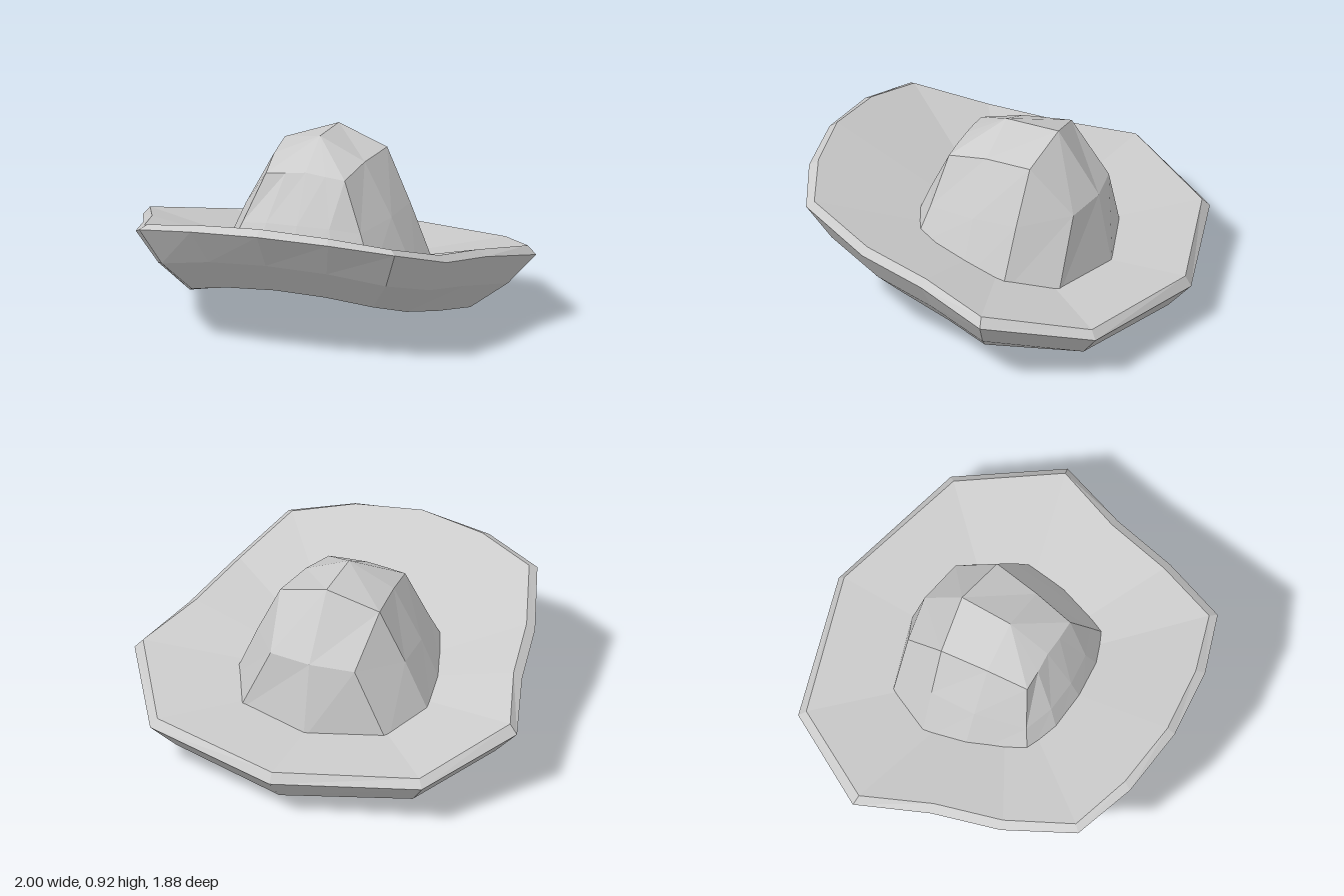
import * as THREE from 'three';

const material = new THREE.MeshStandardMaterial({ color: 0xcccccc, flatShading: true });

// A half ring runs front -> left side -> back; mirror it into a closed ring.
const mirrorRing = (half) => [
  ...half,
  ...half.slice(1, -1).reverse().map(([x, y, z]) => [-x, y, z]),
];

// Skin a stack of half rings, ordered from the top surface outward and down.
function skin(name, halfRings) {
  const rings = halfRings.map(mirrorRing);
  const n = rings[0].length;
  const pos = [];
  const tri = (a, b, c) => {
    const [p, q, r] = [a, b, c].map((v) => new THREE.Vector3(...v));
    // Skip collapsed triangles where ring points coincide
    if (q.sub(p).cross(r.sub(p)).length() > 1e-6) pos.push(...a, ...b, ...c);
  };
  for (let k = 0; k < rings.length - 1; k++) {
    const up = rings[k], low = rings[k + 1];
    for (let i = 0; i < n; i++) {
      const j = (i + 1) % n;
      tri(low[i], low[j], up[j]);
      tri(low[i], up[j], up[i]);
    }
  }
  const geometry = new THREE.BufferGeometry();
  geometry.setAttribute('position', new THREE.Float32BufferAttribute(pos, 3));
  geometry.computeVertexNormals();
  const mesh = new THREE.Mesh(geometry, material);
  mesh.name = name;
  return mesh;
}

// A half ring collapsed to one point, closing a skin with a fan
const point = (p, count) => Array(count).fill(p);

export function createModel() {
  const model = new THREE.Group();
  model.name = 'tiltedDish';

  // Bowl: shallow floor, bevelled rim, faceted underside
  const innerRim = [
    [0, 0.70, 0.90], [0.33, 0.675, 0.86], [0.62, 0.62, 0.76], [0.75, 0.51, 0.43],
    [0.83, 0.45, 0.09], [0.96, 0.385, -0.25], [0.685, 0.27, -0.71], [0, 0.25, -0.91],
  ];
  const outerRim = [
    [0, 0.67, 0.94], [0.35, 0.65, 0.90], [0.65, 0.60, 0.79], [0.79, 0.48, 0.44],
    [0.87, 0.42, 0.10], [1, 0.34, -0.26], [0.71, 0.23, -0.74], [0, 0.20, -0.94],
  ];
  const middle = [
    [0, 0.49, 0.81], [0.30, 0.47, 0.78], [0.57, 0.41, 0.69], [0.69, 0.32, 0.40],
    [0.76, 0.26, 0.09], [0.87, 0.195, -0.22], [0.62, 0.10, -0.64], [0, 0.07, -0.82],
  ];
  const lower = [
    [0, 0.33, 0.68], [0.25, 0.31, 0.65], [0.46, 0.26, 0.57], [0.55, 0.18, 0.34],
    [0.61, 0.11, 0.06], [0.70, 0.075, -0.16], [0.50, 0.02, -0.51], [0, 0, -0.65],
  ];
  model.add(skin('bowl', [
    point([0, 0.26, 0], 8), innerRim, outerRim, middle, lower, point([0, 0.185, 0], 8),
  ]));

  // Dome: short ridge on top, flaring to a base sunk into the floor
  const ridgeFront = [0, 0.915, 0.02], ridgeBack = [0, 0.905, -0.25];
  const ridge = [...point(ridgeFront, 4), ...point(ridgeBack, 3)];
  const crown = [
    [0, 0.79, 0.23], [0.10, 0.78, 0.235], [0.20, 0.77, 0.235], [0.23, 0.81, 0.03],
    [0.26, 0.82, -0.21], [0.26, 0.82, -0.21], ridgeBack,
  ];
  const waist = [
    [0, 0.56, 0.36], [0.16, 0.555, 0.345], [0.30, 0.53, 0.29], [0.37, 0.55, 0.04],
    [0.385, 0.56, -0.19], [0.22, 0.59, -0.42], [0, 0.60, -0.46],
  ];
  const base = [
    [0, 0.42, 0.42], [0.20, 0.40, 0.405], [0.38, 0.34, 0.345], [0.50, 0.26, 0.05],
    [0.52, 0.25, -0.17], [0.39, 0.22, -0.41], [0, 0.22, -0.53],
  ];
  model.add(skin('dome', [ridge, crown, waist, base]));

  return model;
}
